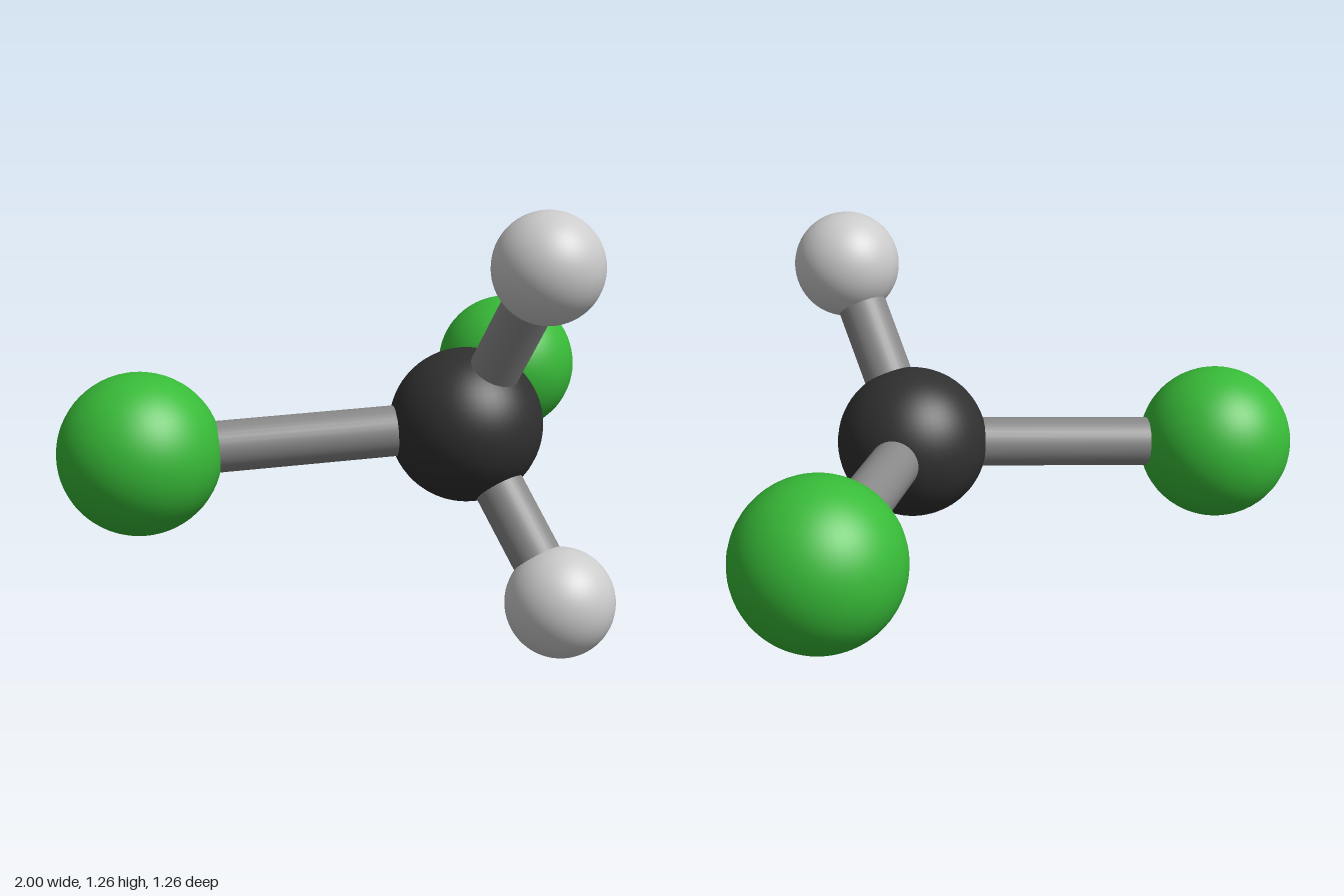
import * as THREE from 'three';

const mat = (color) => new THREE.MeshStandardMaterial({ color });

export function createModel() {
  const model = new THREE.Group();
  const dark = mat(0x303030), green = mat(0x38bb38), pale = mat(0xcccccc), grey = mat(0x888888);

  const addBall = (name, position, radius, material) => {
    const ball = new THREE.Mesh(new THREE.SphereGeometry(radius, 48, 32), material);
    ball.name = name;
    ball.position.copy(position);
    model.add(ball);
  };

  // Rod running between two ball centres
  const addRod = (name, from, to) => {
    const along = to.clone().sub(from);
    const rod = new THREE.Mesh(new THREE.CylinderGeometry(0.073, 0.073, along.length(), 32), grey);
    rod.name = name;
    rod.position.copy(from).addScaledVector(along, 0.5);
    rod.quaternion.setFromUnitVectors(new THREE.Vector3(0, 1, 0), along.normalize());
    model.add(rod);
  };

  // Central ball
  const centre = new THREE.Vector3(-0.003, 0.622, 0.127);
  addBall('centreBall', centre, 0.223, dark);

  // Outer balls, each joined to the centre by a rod
  const outer = [
    ['left', 0.771, 0.63, -0.402, 0.229, green],
    ['right', -0.771, 0.58, -0.402, 0.229, green],
    ['upper', -0.019, 1.106, 0.443, 0.157, pale],
    ['lower', 0.012, 0.159, 0.476, 0.157, pale],
  ];
  for (const [name, x, y, z, radius, material] of outer) {
    const position = new THREE.Vector3(x, y, z);
    addBall(name + 'Ball', position, radius, material);
    addRod(name + 'Rod', centre, position);
  }
  return model;
}
